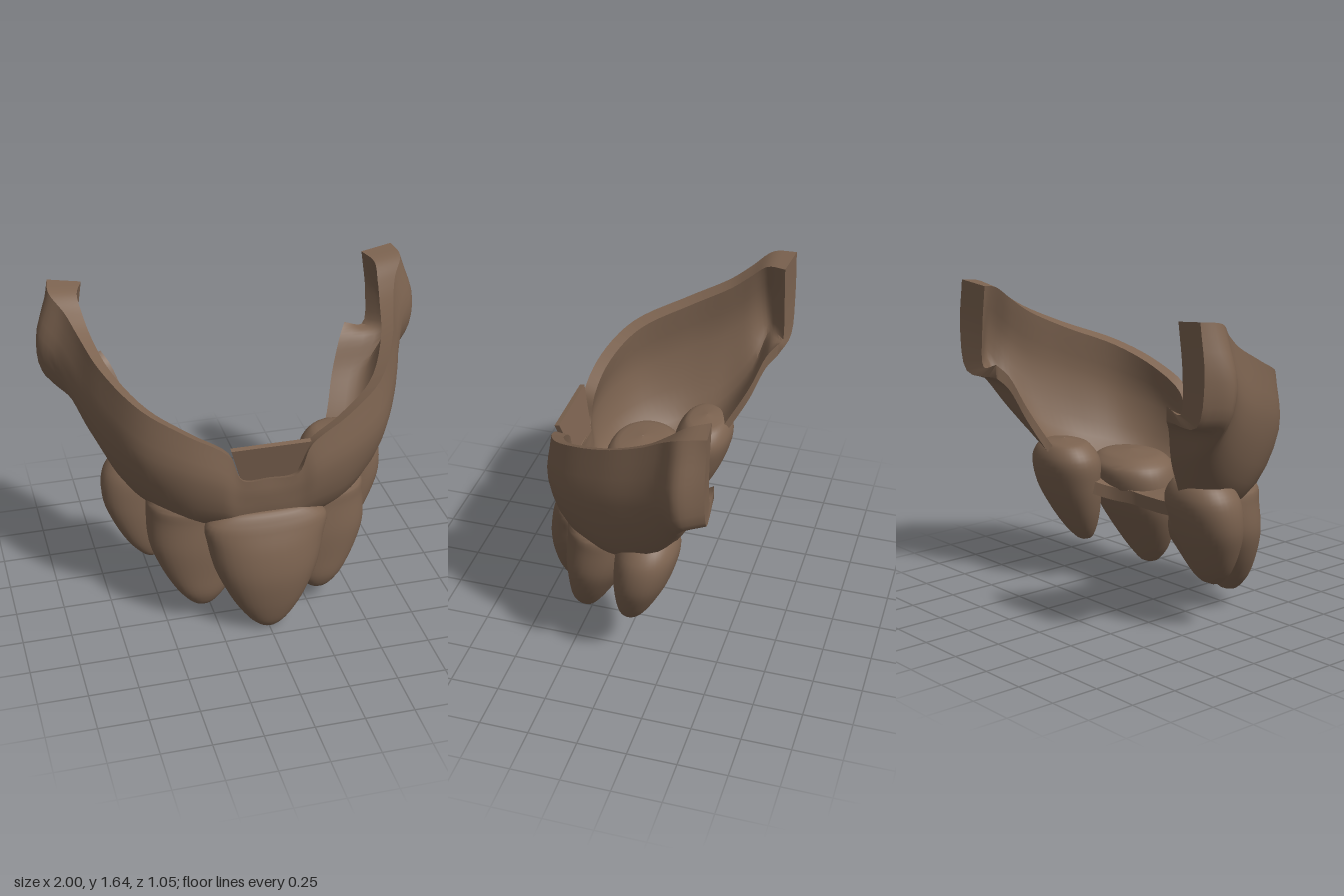
import * as THREE from 'three';
import { toCreasedNormals } from 'three/addons/utils/BufferGeometryUtils.js';

const V = (x, y, z) => new THREE.Vector3(x, y, z);

// Skin a list of closed rings; optional caps join each ring's first half to its second.
function loft(rings, capped, crease) {
  const n = rings[0].length, m = rings.length, pos = [], idx = [];
  rings.forEach(r => r.forEach(p => pos.push(p.x, p.y, p.z)));
  for (let u = 0; u < m - 1; u++) for (let v = 0; v < n; v++) {
    const w = (v + 1) % n;
    const a = u * n + v, b = u * n + w, c = (u + 1) * n + w, d = (u + 1) * n + v;
    idx.push(a, b, c, a, c, d);
  }
  if (capped) {
    const e = (m - 1) * n;
    for (let k = 0; k < n / 2 - 1; k++) {
      const o = k, o1 = k + 1, i = n - 1 - k, i1 = n - 2 - k;
      idx.push(o, i, i1, o, i1, o1);
      idx.push(e + o, e + i1, e + i, e + o, e + o1, e + i1);
    }
  }
  const g = new THREE.BufferGeometry();
  g.setAttribute('position', new THREE.Float32BufferAttribute(pos, 3));
  g.setIndex(idx);
  g.computeVertexNormals();
  return toCreasedNormals(g, crease);
}

// Half of the gum, centre to rear: top rim, bulge, outer base, inner floor edge,
// then wall thickness at the rim and at the base.
const STATIONS = [
  [V(0, .89, .42), V(0, .79, .42), V(0, .59, .36), V(0, .49, -.02), .06, .04],
  [V(.14, .9, .425), V(.15, .8, .42), V(.14, .59, .36), V(.08, .49, -.02), .06, .04],
  [V(.21, 1.05, .42), V(.24, .87, .44), V(.22, .6, .34), V(.14, .495, -.025), .06, .04],
  [V(.4, 1.165, .385), V(.43, .93, .4), V(.38, .61, .28), V(.25, .5, -.06), .06, .03],
  [V(.6, 1.27, .27), V(.62, .98, .28), V(.51, .64, .16), V(.32, .52, -.11), .06, .025],
  [V(.75, 1.38, .01), V(.76, 1.07, .05), V(.62, .68, 0), V(.4, .56, -.18), .06, .025],
  [V(.82, 1.48, -.2), V(.85, 1.16, -.17), V(.69, .78, -.19), V(.49, .7, -.26), .07, .03],
  [V(.86, 1.55, -.3), V(.91, 1.25, -.29), V(.79, .98, -.35), V(.56, .92, -.38), .09, .05],
  [V(.92, 1.62, -.4), V(1, 1.36, -.4), V(.95, 1.15, -.42), V(.62, 1.09, -.45), .14, .1],
  [V(.91, 1.64, -.525), V(.94, 1.38, -.525), V(.89, 1.16, -.525), V(.66, 1.15, -.5), .17, .13],
];

function gumGeometry() {
  const flip = s => s.map(p => (p.isVector3 ? V(-p.x, p.y, p.z) : p));
  const all = [...STATIONS.slice(1).reverse().map(flip), ...STATIONS];
  // Outer and inner section points for each station
  const outer = all.map(s => s.slice(0, 4));
  const inner = all.map(([t, m, b, f, rim, base]) => {
    const move = (p, d, up) => p.clone().add(
      V(-p.x, 0, -.4 - p.z).normalize().multiplyScalar(d)).add(V(0, up, 0));
    return [move(t, rim, -.02), move(m, rim, 0), move(b, base, .035), f.clone().add(V(0, .07, 0))];
  });
  const rows = set => [0, 1, 2, 3].map(k => new THREE.CatmullRomCurve3(set.map(s => s[k])));
  const ro = rows(outer), ri = rows(inner), rings = [];
  const N = (all.length - 1) * 5;
  for (let i = 0; i <= N; i++) {
    const section = r => new THREE.CatmullRomCurve3(r.map(c => c.getPoint(i / N))).getPoints(12);
    rings.push([...section(ro), ...section(ri).reverse()]);
  }
  return loft(rings, true, .8);
}

// Tooth from rows of [y, centre x, centre z, half width, half depth], crown downwards.
function toothGeometry(rows) {
  const centre = new THREE.CatmullRomCurve3(rows.map(r => V(r[1], r[0], r[2])));
  const size = new THREE.CatmullRomCurve3(rows.map(r => V(r[3], r[0], r[4])));
  const rings = [], N = (rows.length - 1) * 5;
  const soft = c => Math.sign(c) * Math.pow(Math.abs(c), .92);
  for (let i = 0; i <= N; i++) {
    const c = centre.getPoint(i / N), s = size.getPoint(i / N), ring = [];
    for (let k = 0; k < 36; k++) {
      const a = k / 36 * Math.PI * 2;
      ring.push(V(c.x + soft(Math.cos(a)) * Math.max(s.x, .002), c.y,
        c.z + soft(Math.sin(a)) * Math.max(s.z, .002)));
    }
    rings.push(ring);
  }
  return loft(rings, false, 1.2);
}

const CENTRE_TOOTH = [
  [.705, 0, .37, 0, 0], [.69, 0, .37, .19, .055], [.62, 0, .345, .31, .12], [.5, 0, .335, .3, .17],
  [.35, 0, .35, .265, .175], [.18, 0, .385, .185, .12], [.06, 0, .4, .1, .07],
  [.015, 0, .405, .045, .035], [.002, 0, .405, 0, 0],
];
const SIDE_TOOTH = [
  [.735, .33, .14, 0, 0], [.715, .33, .14, .18, .14], [.67, .32, .13, .24, .19],
  [.6, .31, .13, .257, .195], [.45, .31, .16, .255, .175], [.3, .31, .2, .2, .13],
  [.17, .31, .235, .12, .085], [.1, .31, .245, .05, .04], [.085, .31, .245, 0, 0],
];
const REAR_TOOTH = [
  [.805, .53, -.16, 0, 0], [.785, .53, -.16, .14, .105], [.7, .53, -.15, .208, .15],
  [.55, .54, -.125, .205, .14], [.4, .53, -.09, .155, .105], [.3, .52, -.065, .1, .07],
  [.24, .51, -.05, .045, .035], [.225, .51, -.05, 0, 0],
];

export function createModel() {
  const model = new THREE.Group();
  model.name = 'lowerJaw';
  const brown = new THREE.MeshStandardMaterial({ color: 0x7c6350 });
  brown.name = 'brown';
  const add = (name, geometry) => {
    const mesh = new THREE.Mesh(geometry, brown);
    mesh.name = name;
    model.add(mesh);
    return mesh;
  };

  add('gum', gumGeometry());

  // Upright plate behind the notch in the front rim
  const outline = new THREE.Shape([[-.13, 0], [.13, 0], [.2, .24], [-.2, .24]]
    .map(([x, y]) => new THREE.Vector2(x, y)));
  const plate = add('notchPlate',
    new THREE.ExtrudeGeometry(outline, { depth: .025, bevelEnabled: false }));
  plate.position.set(0, .855, .36);
  plate.rotation.x = .24;

  add('centreTooth', toothGeometry(CENTRE_TOOTH));
  for (const [side, sx] of [['left', 1], ['right', -1]]) {
    const place = rows => rows.map(([y, x, z, w, d]) => [y, x * sx, z, w, d]);
    add(side + 'SideTooth', toothGeometry(place(SIDE_TOOTH)));
    add(side + 'RearTooth', toothGeometry(place(REAR_TOOTH)));
  }
  return model;
}
